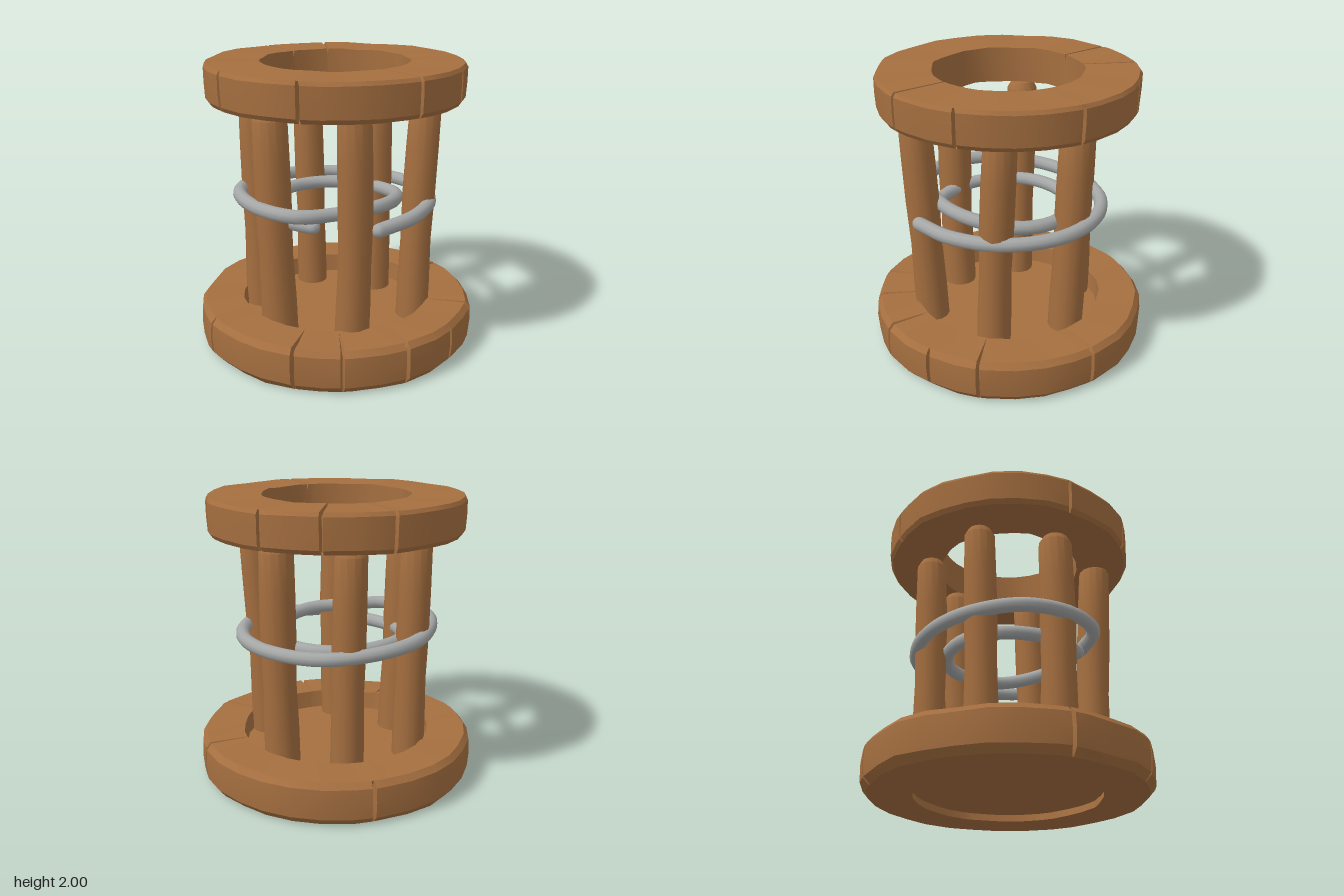
import * as THREE from 'three';
import { toCreasedNormals } from 'three/addons/utils/BufferGeometryUtils.js';

const wood = new THREE.MeshStandardMaterial({ color: 0xa56f40 });
wood.name = 'wood';
const iron = new THREE.MeshStandardMaterial({ color: 0xa5a7a6 });
iron.name = 'iron';

function addMesh(group, name, geometry, material) {
  const mesh = new THREE.Mesh(geometry, material);
  mesh.name = name;
  group.add(mesh);
  return mesh;
}

// Rough hewn ring: a profile of [radius, y] swept round y.
// Each crack [x, z, topLength] cuts a groove down the rim and across the top.
function hewnRing(profile, sides, wobble, cracks) {
  const stations = [];
  const turn = Math.PI * 2;
  const cuts = cracks.map(([x, z, across]) => ({ a: (Math.atan2(z, x) + turn) % turn, across }));
  for (let i = 0; i < sides; i++) {
    const a = (i / sides) * turn;
    if (!cuts.some((c) => Math.abs(c.a - a) < 0.04)) stations.push({ a, cut: 0 });
  }
  for (const c of cuts) {
    for (const d of [-0.014, 0, 0.014]) {
      stations.push({ a: c.a + d, cut: d === 0 ? 1 : 0, across: c.across });
    }
  }
  stations.sort((p, q) => p.a - q.a);

  const positions = [];
  const index = [];
  const n = profile.length;
  stations.forEach(({ a, cut, across }, i) => {
    profile.forEach(([r, y, side], j) => {
      const bump = wobble * (Math.sin(a * 7 + 1) + Math.sin(a * 11 + j * 0.5));
      let radius = r + bump * 0.6;
      let height = y > 0.02 ? y + bump * 0.35 : y;
      if (cut && side === 'rim') radius -= 0.045;
      if (cut && side === 'top' && across) height -= 0.04;
      positions.push(Math.cos(a) * radius, height, Math.sin(a) * radius);
      const j2 = (j + 1) % n;
      const i2 = (i + 1) % stations.length;
      const p = i * n + j, q = i * n + j2, s = i2 * n + j2, t = i2 * n + j;
      index.push(p, q, s, p, s, t);
    });
  });
  const geometry = new THREE.BufferGeometry();
  geometry.setAttribute('position', new THREE.Float32BufferAttribute(positions, 3));
  geometry.setIndex(index);
  return toCreasedNormals(geometry, 0.45);
}

// Slightly crooked pole following [x, z] at bottom, middle and top
function poleGeometry(path, top, radius) {
  const y0 = 0.1;
  const curve = new THREE.CatmullRomCurve3(path.map(([x, z], i) => new THREE.Vector3(x, i, z)));
  const outline = [[0, y0], [radius * 1.03, y0]];
  for (let i = 1; i <= 5; i++) {
    outline.push([radius * (1 + 0.04 * Math.sin(i * 2.3)), y0 + (top - 0.05 - y0) * (i / 5)]);
  }
  outline.push([radius * 0.72, top], [0, top]);
  const geometry = new THREE.LatheGeometry(outline.map(([r, y]) => new THREE.Vector2(r, y)), 14);
  const pos = geometry.attributes.position;
  for (let i = 0; i < pos.count; i++) {
    const y = pos.getY(i);
    const c = curve.getPoint(THREE.MathUtils.clamp((y - y0) / (top - y0), 0, 1));
    pos.setXYZ(i, pos.getX(i) + c.x, y, pos.getZ(i) + c.z);
  }
  return toCreasedNormals(geometry, 0.6);
}

export function createModel() {
  const model = new THREE.Group();
  model.name = 'cage';

  // Base rim with a sunken floor
  const baseProfile = [
    [0.63, 0], [0.93, 0], [0.972, 0.05, 'rim'], [0.98, 0.16, 'rim'],
    [0.972, 0.26, 'rim'], [0.94, 0.3, 'top'], [0.67, 0.3], [0.655, 0.15],
  ];
  addMesh(model, 'baseRing', hewnRing(baseProfile, 30, 0.008, [
    [0.88, 0.24, true], [-0.88, 0.41, true], [-0.7, 0.68, true], [-0.33, 0.92, true],
    [0.09, 0.97, false], [0.44, 0.85, true], [0.36, -0.9, false], [-0.9, -0.3, false],
  ]), wood);
  const floor = addMesh(model, 'floor', new THREE.CylinderGeometry(0.665, 0.645, 0.12, 40), wood);
  floor.position.y = 0.11;

  // Open top ring
  const topProfile = [
    [0.51, 1.745], [0.86, 1.74], [0.88, 1.77, 'rim'], [0.885, 1.87, 'rim'],
    [0.885, 1.97, 'rim'], [0.87, 1.995, 'top'], [0.51, 1.995, 'top'],
  ];
  const topRing = addMesh(model, 'topRing', hewnRing(topProfile, 30, 0.006, [
    [0.19, -0.85, true], [0.55, -0.6, true], [0.78, -0.3, false], [-0.19, 0.85, true],
    [0.28, 0.84, false], [-0.78, 0.4, false], [0.82, 0.3, false], [-0.85, -0.2, false],
  ]), wood);
  topRing.position.x = -0.005;

  // Six poles: bottom, middle and top [x, z], then height
  const poles = [
    ['frontRightPole', [[-0.35, 0.45], [-0.36, 0.49], [-0.4, 0.51]], 1.78, 0.115],
    ['frontLeftPole', [[0.27, 0.495], [0.3, 0.5], [0.355, 0.51]], 1.78, 0.112],
    ['sideRightPole', [[-0.53, -0.04], [-0.56, -0.05], [-0.57, -0.065]], 1.72, 0.12],
    ['sideLeftPole', [[0.49, -0.04], [0.515, -0.05], [0.53, -0.065]], 1.72, 0.12],
    ['backRightPole', [[-0.29, -0.475], [-0.29, -0.49], [-0.29, -0.515]], 1.73, 0.11],
    ['backLeftPole', [[0.26, -0.475], [0.26, -0.49], [0.26, -0.515]], 1.73, 0.11],
  ];
  for (const [name, path, top, radius] of poles) {
    addMesh(model, name, poleGeometry(path, top, radius), wood);
  }

  // Iron coil: one turn outside the poles, then one turn inside them
  const coil = new THREE.Group();
  coil.name = 'ironCoil';
  const points = [
    [-0.28, 0.99, 0.62], [0.05, 1.01, 0.66], [0.4, 1.02, 0.53], [0.62, 1.02, 0.22],
    [0.64, 1.02, -0.14], [0.46, 1.02, -0.47], [0.12, 1.04, -0.64], [-0.26, 1.06, -0.61],
    [-0.57, 1.09, -0.37], [-0.69, 1.09, -0.03], [-0.62, 1.08, 0.23], [-0.42, 1.07, 0.34],
    [-0.14, 1.07, 0.45], [0.12, 1.05, 0.42], [0.34, 1.02, 0.27], [0.43, 1.0, 0.02],
    [0.36, 1.0, -0.25], [0.16, 1.0, -0.41], [-0.1, 1.0, -0.44], [-0.33, 0.99, -0.34],
    [-0.48, 0.98, -0.12], [-0.5, 0.97, 0.08], [-0.47, 0.97, 0.22],
  ].map((p) => new THREE.Vector3(...p));
  const curve = new THREE.CatmullRomCurve3(points);
  addMesh(coil, 'coilRod', new THREE.TubeGeometry(curve, 90, 0.048, 10), iron);
  for (const end of [points[0], points[points.length - 1]]) {
    addMesh(coil, 'coilEnd', new THREE.SphereGeometry(0.048, 10, 8), iron).position.copy(end);
  }
  model.add(coil);

  return model;
}
